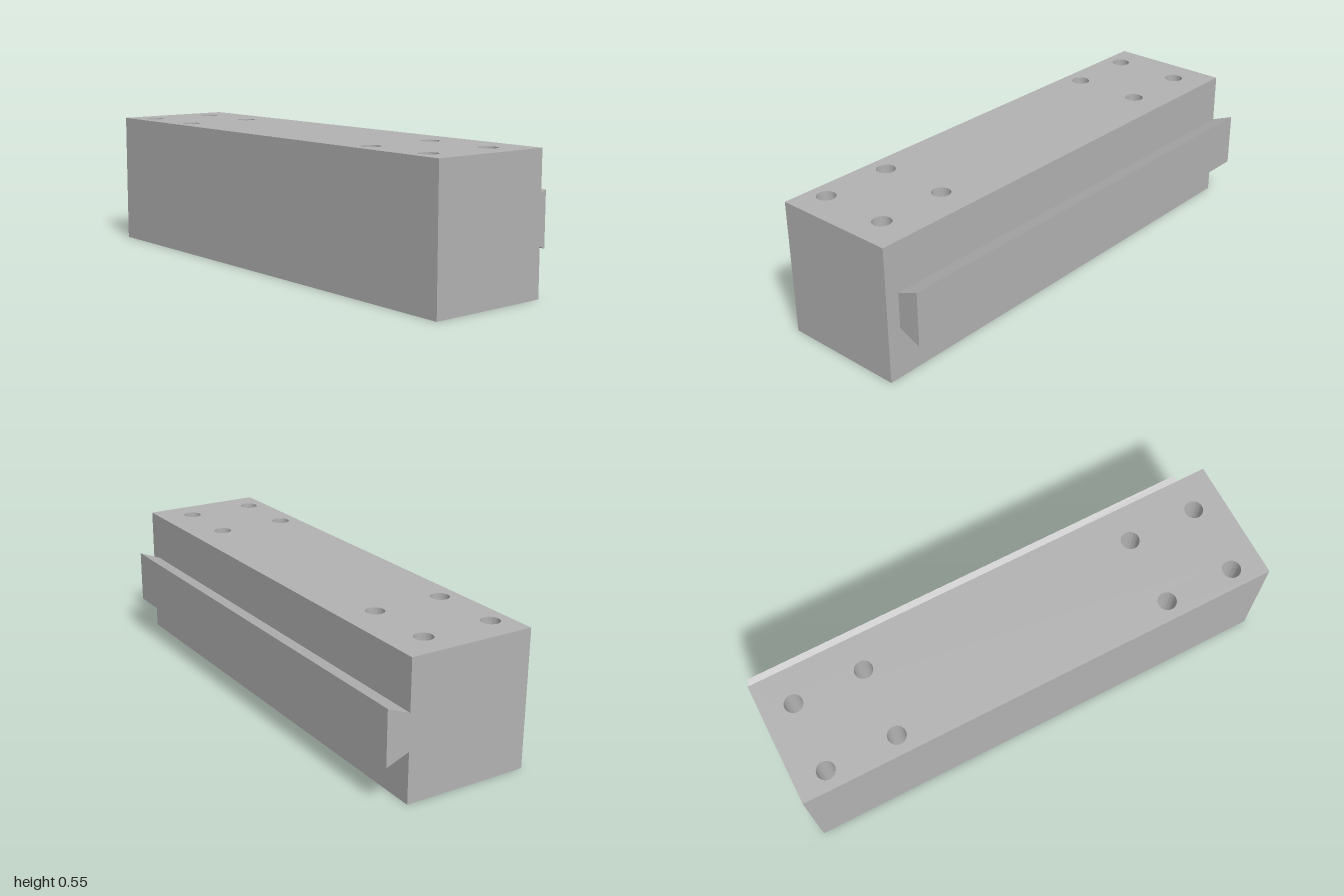
import * as THREE from 'three';
import { toCreasedNormals } from 'three/addons/utils/BufferGeometryUtils.js';

const H = 0.546;                              // block height
const ROOF = 0.036;                           // roof thickness
const BACK = -0.208, FRONT = 0.3;             // block depth range
const HOLE_R = 0.037, TUBE_R = 0.091;
const HOLE_X = [-0.873, -0.582, 0.582, 0.873];
const HOLE_Z = [-0.067, 0.224];

export function createModel() {
  const group = new THREE.Group();
  const grey = new THREE.MeshStandardMaterial({ color: 0xb2b2b2 });
  grey.name = 'grey';

  const add = (name, geometry) => {
    const mesh = new THREE.Mesh(toCreasedNormals(geometry, 0.5), grey);
    mesh.name = name;
    group.add(mesh);
  };
  // Extrude a plan outline (x, z) between two heights
  const upright = (shape, y0, y1) =>
    new THREE.ExtrudeGeometry(shape, { depth: y1 - y0, bevelEnabled: false, curveSegments: 40 })
      .rotateX(Math.PI / 2).translate(0, y1, 0);
  const rect = (x0, x1, z0, z1, Type = THREE.Shape) => new Type([
    new THREE.Vector2(x0, z0), new THREE.Vector2(x1, z0),
    new THREE.Vector2(x1, z1), new THREE.Vector2(x0, z1),
  ]);
  const circle = (x, z) => new THREE.Path().absarc(x, z, HOLE_R, 0, Math.PI * 2, true);

  // Side walls, open underneath, with a thicker back wall
  const walls = rect(-1, 1, BACK, FRONT);
  walls.holes.push(rect(-0.964, 0.964, -0.133, 0.274, THREE.Path));
  add('walls', upright(walls, 0, H - ROOF));

  // Roof with eight screw holes
  const roof = rect(-1, 1, BACK, FRONT);
  for (const x of HOLE_X) for (const z of HOLE_Z) roof.holes.push(circle(x, z));
  add('roof', upright(roof, H - ROOF, H));

  // Screw tubes; the front row is cut flat inside the front wall
  for (const x of HOLE_X) for (const z of HOLE_Z) {
    const s = Math.asin(Math.min(1, (FRONT - 0.004 - z) / TUBE_R));
    const tube = new THREE.Shape();
    tube.absarc(x, z, TUBE_R, Math.PI - s, Math.PI * 2 + s, false);
    tube.holes.push(circle(x, z));
    add('screwTube', upright(tube, 0, H - ROOF));
  }

  // Dovetail rail along the back, stopping short of the left end
  const rail = new THREE.Shape([
    new THREE.Vector2(0.208, 0.202), new THREE.Vector2(0.3, 0.165),
    new THREE.Vector2(0.3, 0.383), new THREE.Vector2(0.208, 0.346),
  ]);
  add('dovetailRail', new THREE.ExtrudeGeometry(rail, { depth: 1.943, bevelEnabled: false })
    .rotateY(Math.PI / 2).translate(-1, 0, 0));

  return group;
}
